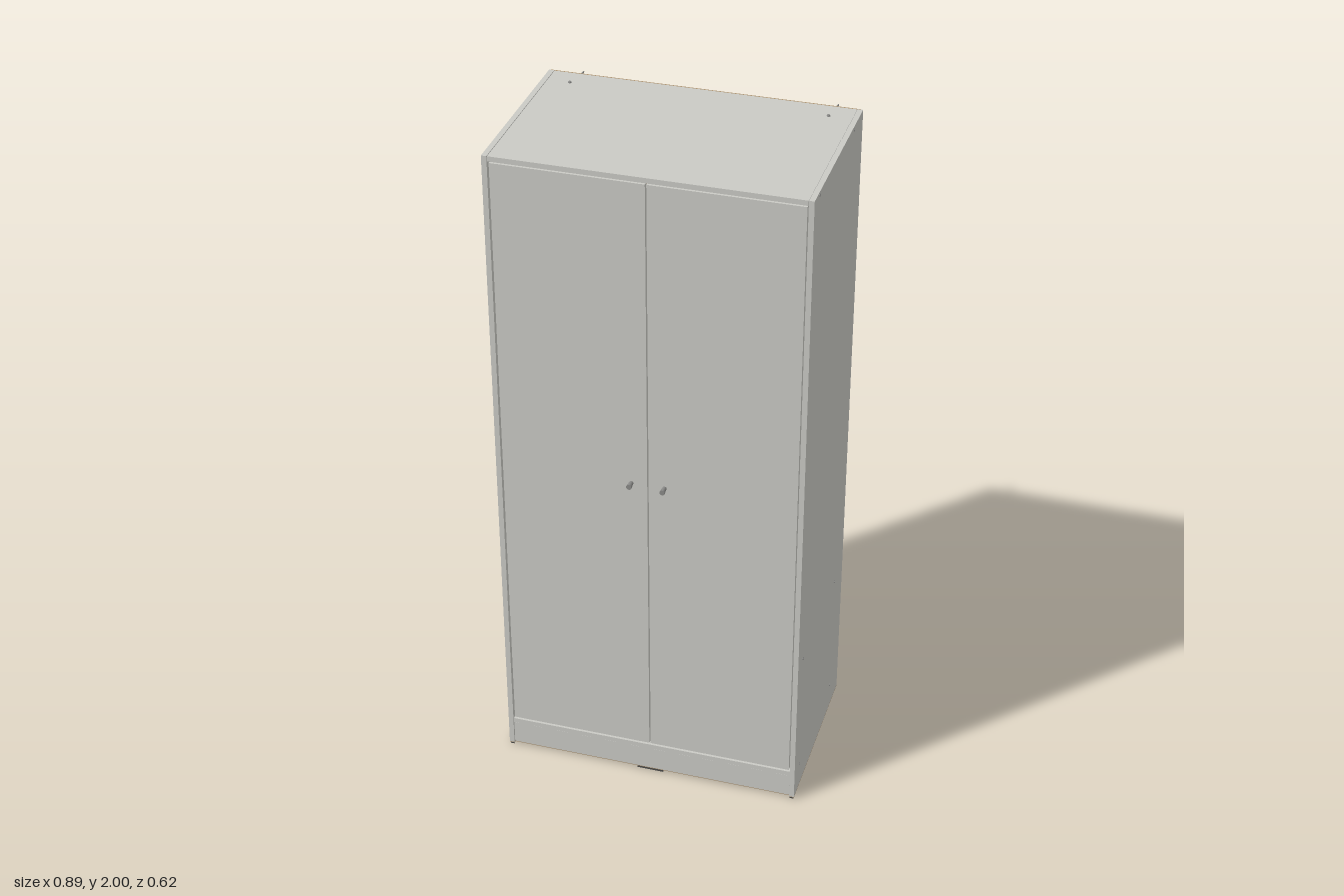
import * as THREE from 'three';

export function createModel() {
  const group = new THREE.Group();
  group.name = 'wardrobe';
  const mat = (name, color) => {
    const m = new THREE.MeshStandardMaterial({ color });
    m.name = name;
    return m;
  };
  const paint = mat('pale grey paint', 0xcacac5);
  const board = mat('brown fibreboard', 0xac9473);
  const metal = mat('grey metal', 0x8a8a88);
  const dark = mat('dark plastic', 0x4a4a48);

  const add = (name, geometry, material, x = 0, y = 0, z = 0) => {
    const mesh = new THREE.Mesh(geometry, material);
    mesh.name = name;
    mesh.position.set(x, y, z);
    group.add(mesh);
    return mesh;
  };
  // Box given by its limits on each axis
  const panel = (name, [x0, x1], [y0, y1], [z0, z1], material = paint) =>
    add(name, new THREE.BoxGeometry(x1 - x0, y1 - y0, z1 - z0), material,
      (x0 + x1) / 2, (y0 + y1) / 2, (z0 + z1) / 2);
  // Panel with a raw board edge underneath
  const edged = (name, xs, ys, zs) => {
    panel(name, xs, [ys[0] + 0.002, ys[1]], zs);
    panel(name + 'Edge', xs, [ys[0], ys[0] + 0.002], zs, board);
  };
  const rod = (name, r0, r1, length, axis, material, x, y, z) => {
    const g = new THREE.CylinderGeometry(r1, r0, length, 16);
    if (axis === 'z') g.rotateX(Math.PI / 2);
    if (axis === 'x') g.rotateZ(-Math.PI / 2);
    return add(name, g, material, x, y, z);
  };

  // Carcass
  const inner = [-0.43, 0.43];
  panel('topPanel', inner, [1.981, 1.996], [-0.254, 0.288]);
  panel('bottomPanel', inner, [0.086, 0.101], [-0.254, 0.288]);
  panel('innerShelf', inner, [0.482, 0.497], [-0.25, 0.26]);
  panel('backPanel', [-0.442, 0.442], [0.08, 1.996], [-0.258, -0.254], board);
  edged('frontPlinth', inner, [0.008, 0.084], [0.271, 0.286]);
  edged('rearPlinth', inner, [0.008, 0.086], [-0.115, -0.1]);
  panel('plinthFoot', [-0.04, 0.04], [0, 0.008], [0.266, 0.284], dark);

  for (const s of [-1, 1]) {
    const span = (a, b) => (s > 0 ? [a, b] : [-b, -a]);
    edged('sidePanel', span(0.431, 0.446), [0.006, 1.997], [-0.254, 0.29]);
    panel('frontFoot', span(0.433, 0.444), [0, 0.006], [0.23, 0.288], dark);
    panel('rearFoot', span(0.433, 0.444), [0, 0.006], [-0.19, -0.12], dark);

    // Inset door with its knob
    panel('door', span(0.002, 0.427), [0.106, 1.976], [0.271, 0.286]);
    rod('knob', 0.006, 0.008, 0.024, 'z', metal, s * 0.048, 1.04, 0.298);

    // Assembly screws in the side
    for (const y of [0.093, 0.49, 1.988])
      for (const z of [0.235, -0.148])
        rod('sideScrew', 0.004, 0.004, 0.002, 'x', metal, s * 0.4465, y, z);

    // Wall fixing: strap, screw head, and screw with plug behind
    const x = s * 0.365;
    panel('wallStrap', [x - 0.006, x + 0.006], [1.977, 1.981], [-0.254, -0.19], metal);
    rod('strapScrew', 0.005, 0.004, 0.004, 'y', metal, x, 1.998, -0.193);
    rod('wallPlugCollar', 0.008, 0.004, 0.008, 'z', metal, x, 1.975, -0.262).rotation.y = 0;
    rod('wallPlug', 0.0035, 0.005, 0.04, 'z', metal, x, 1.975, -0.278);
    rod('wallScrewTip', 0.002, 0.003, 0.016, 'z', metal, x, 1.975, -0.304);
  }
  return group;
}
